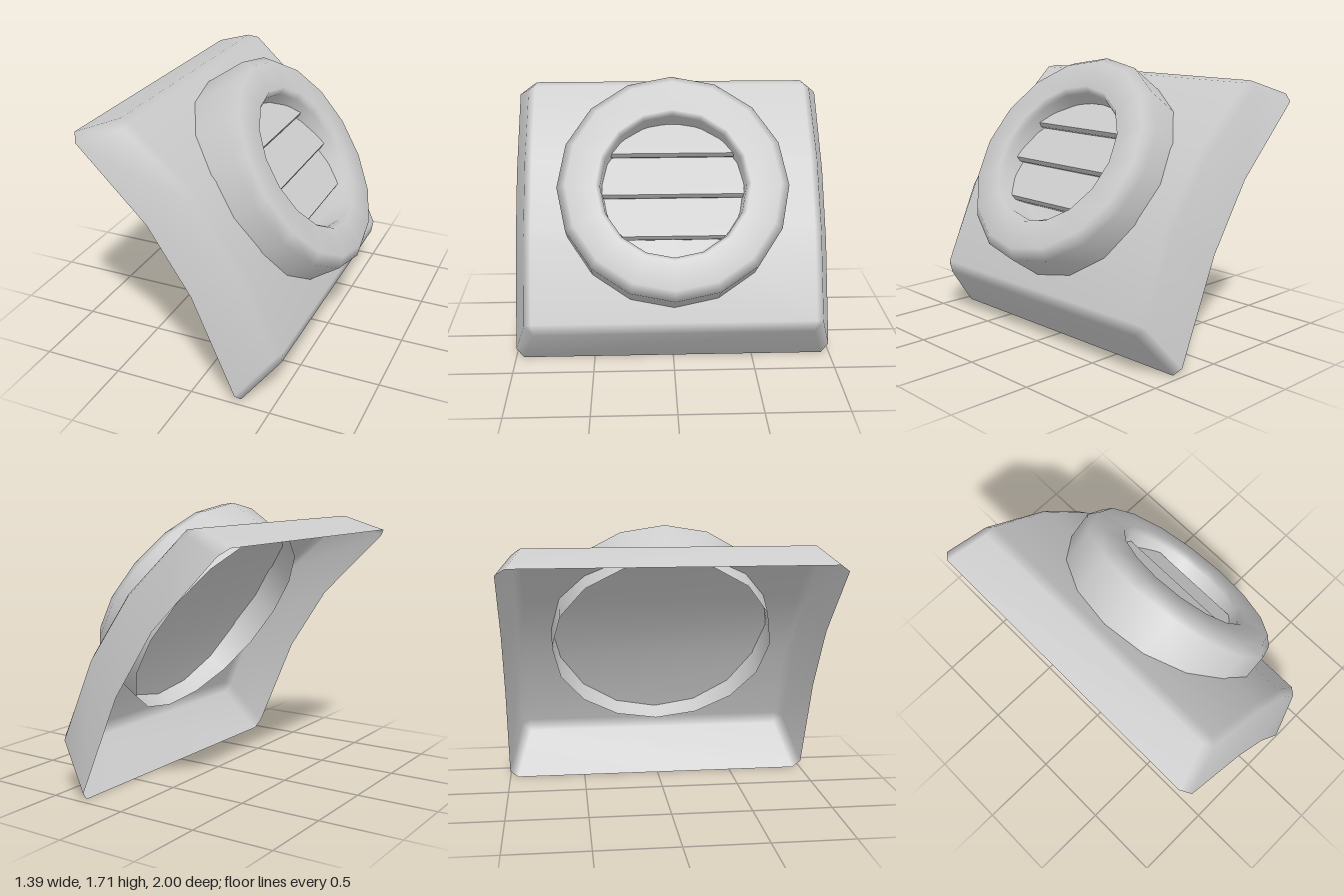
import * as THREE from 'three';
import { mergeVertices, toCreasedNormals } from 'three/addons/utils/BufferGeometryUtils.js';

const material = new THREE.MeshStandardMaterial({ color: 0xcccccc, side: THREE.DoubleSide });

function addMesh(parent, geometry, name) {
  const mesh = new THREE.Mesh(geometry, material);
  mesh.name = name;
  parent.add(mesh);
}

// Area-weighted smooth normals: large faces stay flat, narrow bevels carry the rounding
function smooth(geometry) {
  geometry.deleteAttribute('normal');
  geometry.deleteAttribute('uv');
  const g = mergeVertices(geometry, 1e-4);
  g.computeVertexNormals();
  return g;
}

// Curved hollow housing: half loops [x, y, z] run from top to bottom and are mirrored in z
function housingGeometry() {
  const rim = [[-0.7, 1.52, 0.94], [-0.66, 1.48, 1], [-0.24, 1.06, 1], [0.02, 0.66, 1], [0.28, 0.05, 1], [0.3, 0, 0.95]];
  const shoulder = [[-0.45, 1.61, 0.86], [-0.41, 1.57, 0.915], [0, 1.21, 0.915], [0.27, 0.83, 0.915], [0.495, 0.32, 0.915], [0.515, 0.265, 0.86]];
  const face = [[-0.38, 1.6], [-0.38, 1.6], [0.02, 1.23], [0.29, 0.85], [0.525, 0.34], [0.525, 0.34]].map(([x, y]) => [x, y, 0.87]);
  const mirror = ([x, y, z]) => [x, y, -z];
  const pos = [];
  const tri = (a, b, c) => {
    const area = new THREE.Triangle(new THREE.Vector3(...a), new THREE.Vector3(...b), new THREE.Vector3(...c)).getArea();
    if (area > 1e-7) pos.push(...a, ...b, ...c);
  };
  const quad = (a, b, c, d) => { tri(a, b, c); tri(a, c, d); };

  // Walls and rounded edge
  const loops = [rim, shoulder, face].map((h) => [...h, ...h.map(mirror).reverse()]);
  for (let k = 0; k < 2; k++) {
    const [a, b] = [loops[k], loops[k + 1]];
    a.forEach((p, i) => {
      const j = (i + 1) % a.length;
      quad(p, a[j], b[j], b[i]);
    });
  }
  // Curved front panel
  for (let i = 1; i < 4; i++) quad(face[i], face[i + 1], mirror(face[i + 1]), mirror(face[i]));

  const g = new THREE.BufferGeometry();
  g.setAttribute('position', new THREE.Float32BufferAttribute(pos, 3));
  return smooth(g);
}

// Sloping slat with a bevelled lower lip; its width follows the round opening
function slatGeometry(t0, t1) {
  const back = -0.2, top = -0.15, front = -0.09, steps = 5;
  const shape = new THREE.Shape();
  shape.moveTo(t0, back);
  shape.lineTo(t1, back);
  shape.lineTo(t1 + 0.015, front - 0.03);
  for (let i = steps; i >= 0; i--) {
    const f = i / steps;
    shape.lineTo(t0 + (t1 - t0) * f, top + (front - top) * f);
  }
  const g = new THREE.ExtrudeGeometry(shape, { depth: 2, bevelEnabled: false });
  g.translate(0, 0, -1);
  const p = g.attributes.position;
  for (let i = 0; i < p.count; i++) {
    const t = p.getX(i);
    p.setZ(i, p.getZ(i) * Math.sqrt(Math.max(0, 0.43 ** 2 - t * t)));
  }
  return toCreasedNormals(g, 0.9);
}

export function createModel() {
  const model = new THREE.Group();
  model.name = 'ventPanel';
  addMesh(model, housingGeometry(), 'housing');

  // Tilted round vent; its local y points out of the panel
  const vent = new THREE.Group();
  vent.name = 'roundVent';
  vent.position.set(0.333, 1.167, 0);
  vent.rotation.z = -0.976;
  model.add(vent);

  // Ring open at the back, with a rounded lip leading into a shallow bore
  const profile = [[0.7, -0.4], [0.7, -0.06], [0.645, 0], [0.465, 0], [0.44, -0.04], [0.43, -0.15], [0.41, -0.19], [0, -0.2]];
  const ring = new THREE.LatheGeometry(profile.map(([r, y]) => new THREE.Vector2(r, y)), 16);
  addMesh(vent, smooth(ring), 'ventRing');

  // Louvre slats stepping down the opening
  const edges = [-0.42, -0.216, 0.042, 0.3];
  for (let i = 0; i < 3; i++) addMesh(vent, slatGeometry(edges[i], edges[i + 1]), 'slat' + (i + 1));

  return model;
}
